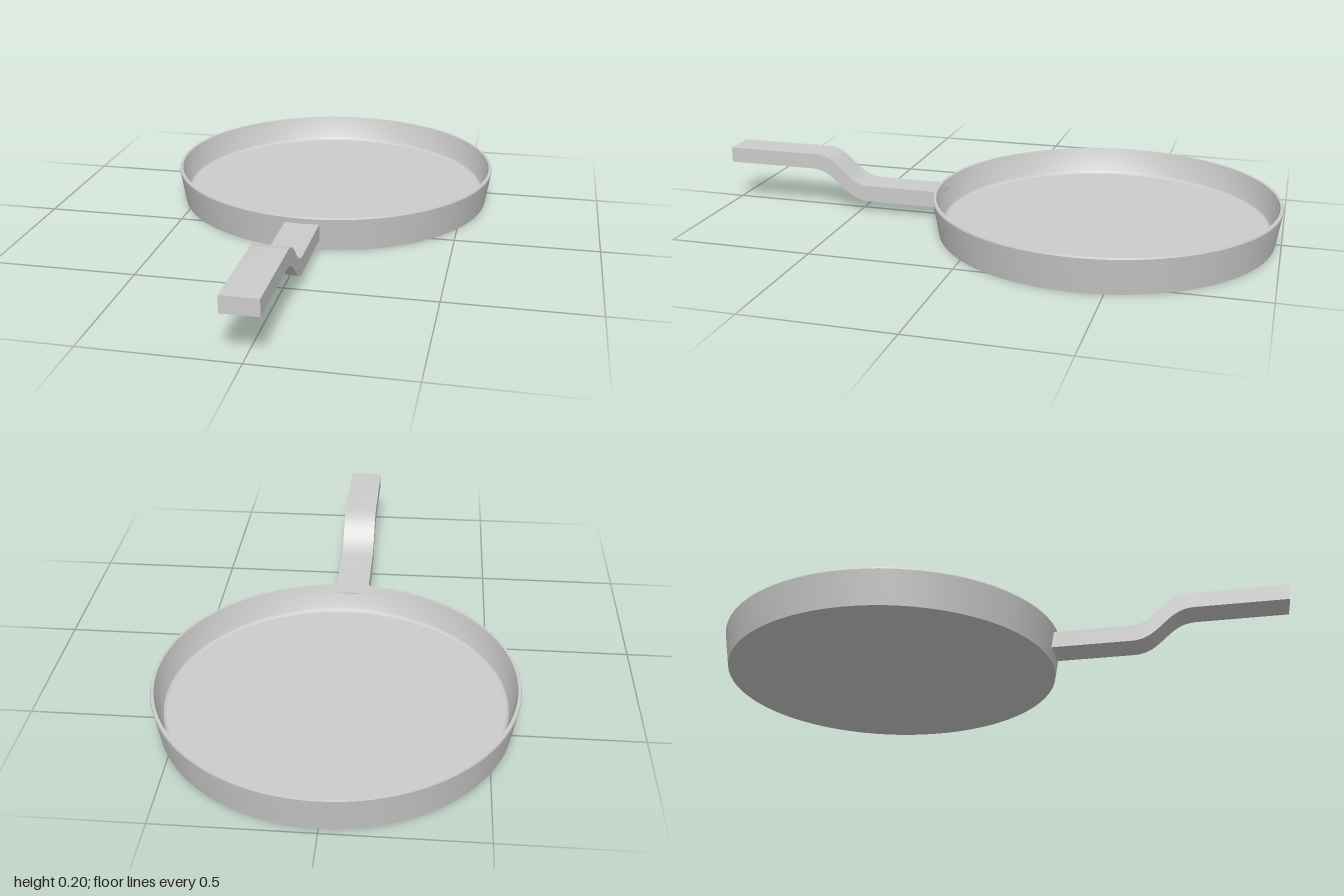
import * as THREE from 'three';
import { toCreasedNormals } from 'three/addons/utils/BufferGeometryUtils.js';

export function createModel() {
  const model = new THREE.Group();
  model.name = 'pan';
  const metal = new THREE.MeshStandardMaterial({ color: 0xcccccc });
  metal.name = 'grey metal';

  const addPart = (name, geometry) => {
    const mesh = new THREE.Mesh(toCreasedNormals(geometry, 0.35), metal);
    mesh.name = name;
    model.add(mesh);
    return mesh;
  };

  // Shallow dish: base, flared wall, thin rim, inner wall, filleted floor
  const profile = [
    [0, 0], [0.58, 0], [0.6, 0.12], [0.598, 0.125], [0.588, 0.125],
    [0.567, 0.042], [0.563, 0.035], [0.555, 0.031], [0, 0.031],
  ].map(([r, y]) => new THREE.Vector2(r, y));
  addPart('dish', new THREE.LatheGeometry(profile, 96)).position.z = -0.4;

  // Cranked flat handle: side profile drawn in (z, y), extruded across x
  const side = new THREE.Shape();
  side.moveTo(0.18, 0.042);
  side.lineTo(0.46, 0.042);
  side.bezierCurveTo(0.56, 0.042, 0.58, 0.15, 0.68, 0.15);
  side.lineTo(1, 0.15);
  side.lineTo(1, 0.205);
  side.lineTo(0.66, 0.205);
  side.bezierCurveTo(0.57, 0.205, 0.55, 0.1, 0.46, 0.1);
  side.lineTo(0.18, 0.1);
  side.closePath();
  const bar = new THREE.ExtrudeGeometry(side, { depth: 0.12, bevelEnabled: false, curveSegments: 16 });
  bar.rotateY(-Math.PI / 2);
  bar.translate(0.055, 0, 0);
  addPart('handle', bar);

  return model;
}
